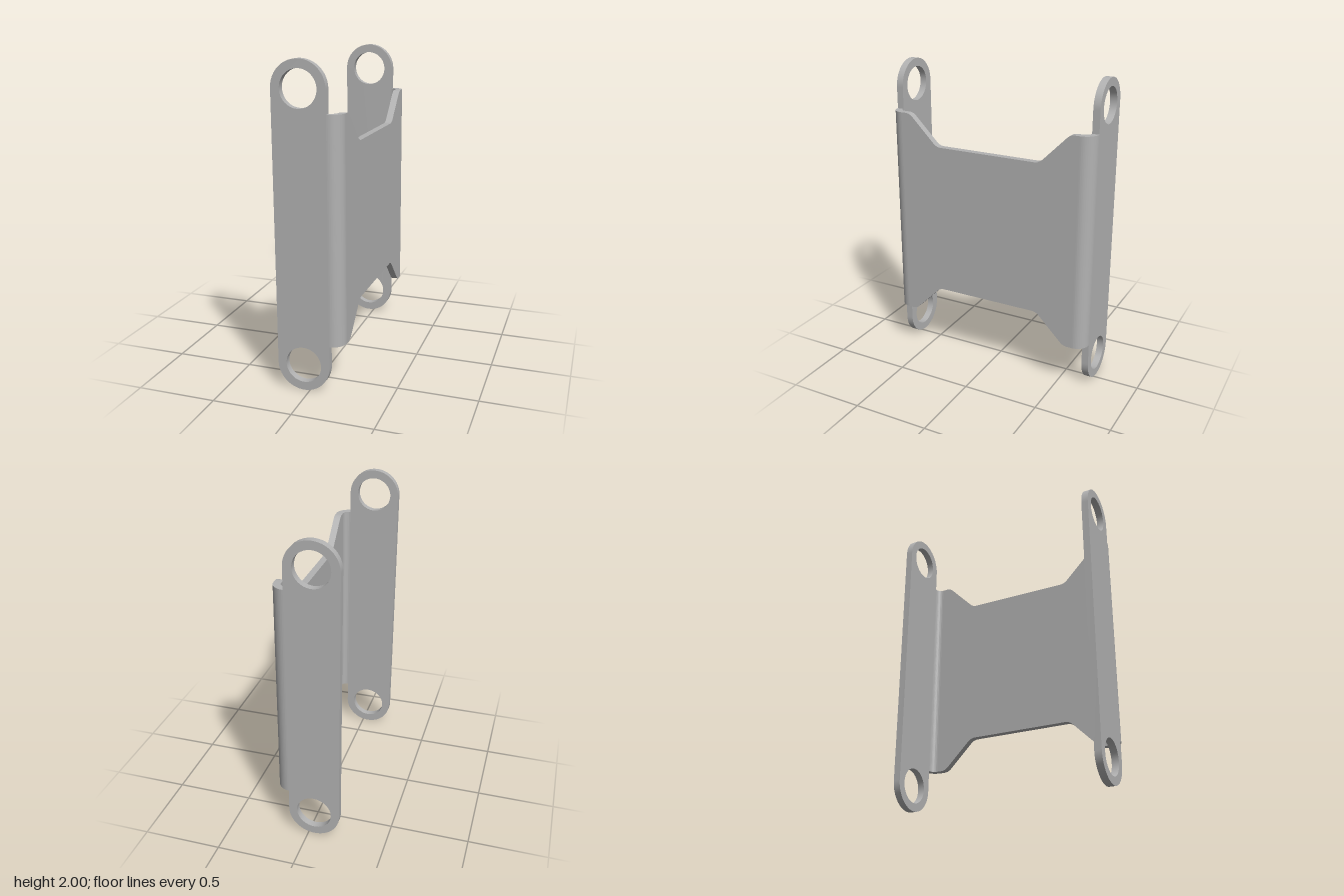
import * as THREE from 'three';
import { toCreasedNormals } from 'three/addons/utils/BufferGeometryUtils.js';

const T = 0.045;          // sheet thickness
const OUT_X = 0.207;      // outer face of the web
const OUT_Z = 0.7;        // outer face of the flanges
const R = 0.085;          // outer bend radius
const EDGE = OUT_X - R;   // where the bend meets the flange
const HALF_H = 0.695;     // half height of the web at its ends
const WAIST = 0.498;      // half height of the web in the middle

function extrude(shape, depth) {
  const g = new THREE.ExtrudeGeometry(shape, { depth, bevelEnabled: false, curveSegments: 24 });
  return toCreasedNormals(g, 0.6);
}

// Closed outline with each corner eased by the given length
function easedShape(points) {
  const shape = new THREE.Shape();
  const n = points.length;
  points.forEach(([x, y, ease], i) => {
    const p = new THREE.Vector2(x, y);
    const toward = (q) => {
      const d = new THREE.Vector2(q[0], q[1]).sub(p).normalize();
      return p.clone().addScaledVector(d, ease);
    };
    const a = toward(points[(i + n - 1) % n]);
    const b = toward(points[(i + 1) % n]);
    if (i === 0) shape.moveTo(a.x, a.y);
    else shape.lineTo(a.x, a.y);
    if (ease > 0) shape.quadraticCurveTo(x, y, b.x, b.y);
  });
  shape.closePath();
  return shape;
}

// Long flange with round ends and a hole at each end
function flangeGeometry() {
  const r = (EDGE + 0.209) / 2, cx = EDGE - r, cy = 1 - r;
  const s = new THREE.Shape();
  s.moveTo(cx + r, -cy);
  s.lineTo(cx + r, cy);
  s.absarc(cx, cy, r, 0, Math.PI, false);
  s.lineTo(cx - r, -cy);
  s.absarc(cx, -cy, r, Math.PI, Math.PI * 2, false);
  for (const y of [cy, -cy]) {
    const hole = new THREE.Path();
    hole.absarc(cx, y, 0.1125, 0, Math.PI * 2, true);
    s.holes.push(hole);
  }
  return extrude(s, T).translate(0, 0, OUT_Z - T);
}

// Quarter-round bend between flange and web
function bendGeometry() {
  const s = new THREE.Shape();
  s.absarc(0, 0, R, 0, -Math.PI / 2, true);
  s.absarc(0, 0, R - T, -Math.PI / 2, 0, false);
  s.closePath();
  return extrude(s, HALF_H * 2).rotateX(-Math.PI / 2).translate(EDGE, -HALF_H, OUT_Z - R);
}

// Web with sloped shoulders narrowing to the waist
function webGeometry() {
  const end = OUT_Z - R;
  const quarter = [[end, HALF_H, 0], [0.555, HALF_H, 0.03], [0.358, WAIST, 0.03]];
  const mirror = (pts, sx, sy) => pts.map(([x, y, e]) => [x * sx, y * sy, e]);
  const outline = [
    ...quarter,
    ...mirror(quarter, -1, 1).reverse(),
    ...mirror(quarter, -1, -1),
    ...mirror(quarter, 1, -1).reverse(),
  ];
  return extrude(easedShape(outline), T).rotateY(-Math.PI / 2).translate(OUT_X, 0, 0);
}

export function createModel() {
  const steel = new THREE.MeshStandardMaterial({ color: 0xb2b2b2 });
  steel.name = 'grey steel';

  const bracket = new THREE.Group();
  bracket.name = 'bracket';
  const add = (geometry, name, turned) => {
    const mesh = new THREE.Mesh(geometry, steel);
    mesh.name = name;
    if (turned) mesh.rotation.x = Math.PI;
    bracket.add(mesh);
  };

  const flange = flangeGeometry(), bend = bendGeometry();
  add(webGeometry(), 'web', false);
  add(flange, 'frontFlange', false);
  add(bend, 'frontBend', false);
  add(flange, 'backFlange', true);
  add(bend, 'backBend', true);

  // The bracket leans very slightly to one side
  bracket.rotation.z = 0.0075;
  bracket.position.y = 1;

  const model = new THREE.Group();
  model.name = 'mountingBracket';
  model.add(bracket);
  return model;
}
